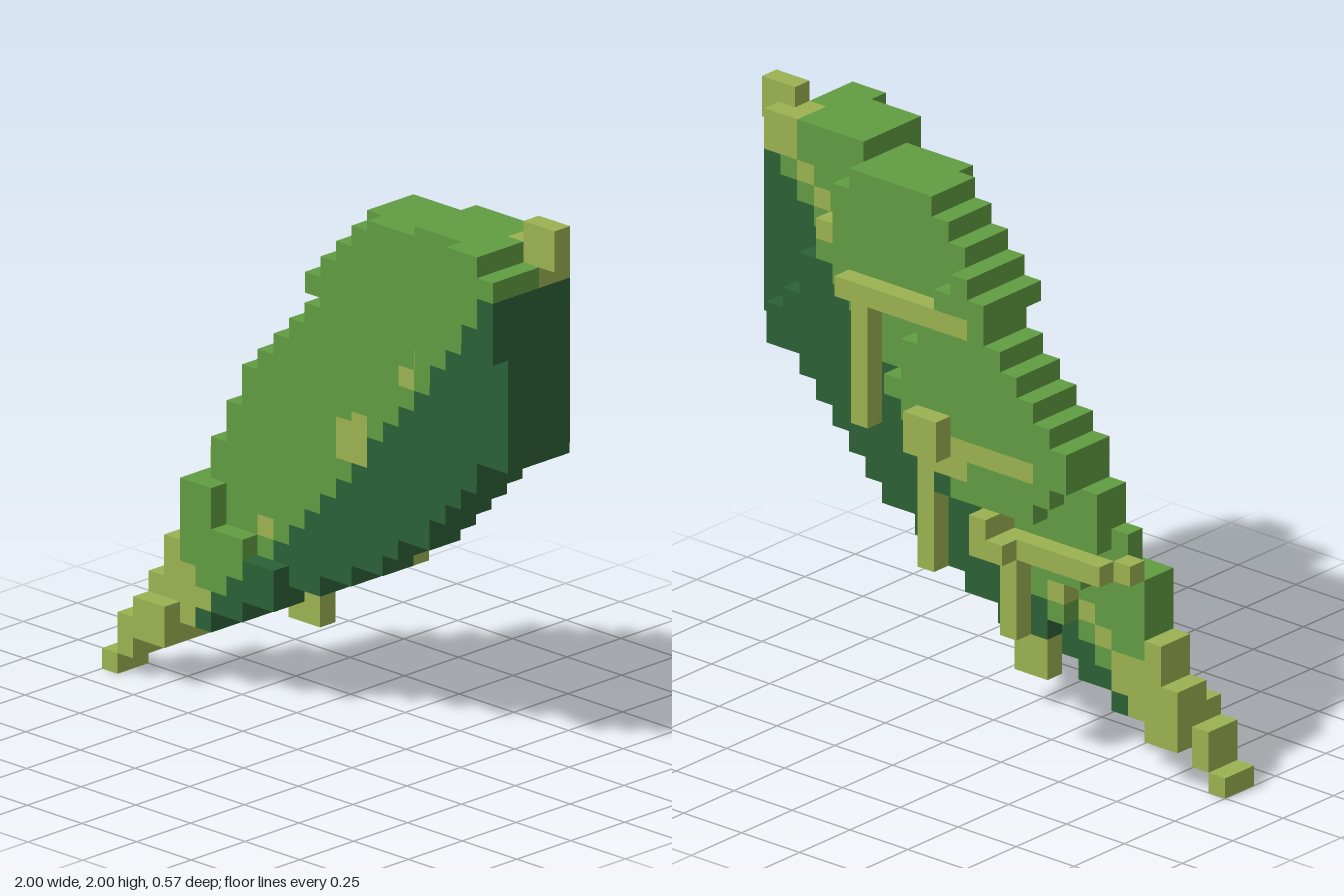
import * as THREE from 'three';

const U = 2 / 28; // cube size

const mat = (name, color) => {
  const m = new THREE.MeshStandardMaterial({ color });
  m.name = name;
  return m;
};

// Leaf outline: first and past-last cube of each column, columns 4 to 26
const FIRST_COLUMN = 4;
const TOP = [10, 12, 14, 16, 17, 18, 19, 20, 22, 23, 24, 25, 26, 26, 26, 26, 26, 27, 27, 27, 27, 27, 26];
const BOTTOM = [3, 3, 4, 4, 5, 5, 6, 6, 7, 7, 8, 8, 9, 10, 10, 11, 12, 13, 14, 15, 16, 16, 17];
// Height of the thickened foot of the leaf, columns 4 to 9
const FOOT = [10, 10, 8, 8, 7, 7];

// Curl of the blade: front and back depth step along its length
function frontDepth(i, j) {
  if (j < (FOOT[i - FIRST_COLUMN] ?? 0)) return 1;
  const s = i + 0.58 * j;
  return [24, 30.8, 35.2, 38.4].filter((limit) => s >= limit).length;
}
function backDepth(i, j) {
  const s = i + 0.58 * j;
  if (s < 12 || s >= 35) return -1;
  const deep = s >= 15 && s < 26.5 && j >= 12 && (i < 17 || j >= 16);
  return deep ? -3 : -2;
}

// Painted midrib cells that show on the blade
function isMidrib(i, j, k) {
  if (i === 4 && j < 6) return true;
  if (i === 5 && j === 4) return true;
  if (i >= 13 && i <= 15 && j >= 13 && j <= 15) return Math.abs(i - j) < 2 && !(i === 15 && j === 13);
  if (i !== j) return false;
  if (k < 0) return i < 9 || i > 21;
  return (i >= 8 && i <= 12) || i === 18 || i === 19;
}

// Faces of a cube: normal and the two edge directions
const FACES = [
  [[1, 0, 0], [0, 1, 0], [0, 0, 1]],
  [[-1, 0, 0], [0, 0, 1], [0, 1, 0]],
  [[0, 1, 0], [0, 0, 1], [1, 0, 0]],
  [[0, -1, 0], [1, 0, 0], [0, 0, 1]],
  [[0, 0, 1], [1, 0, 0], [0, 1, 0]],
  [[0, 0, -1], [0, 1, 0], [1, 0, 0]],
];

// Outer skin of all cubes belonging to one part
function skin(cubes, part) {
  const positions = [], normals = [];
  for (const [key, name] of cubes) {
    if (name !== part) continue;
    const c = key.split(',').map(Number);
    for (const [n, a, b] of FACES) {
      if (cubes.has(c.map((v, d) => v + n[d]).join())) continue;
      const corner = (p, q) => c.map((v, d) => v + Math.max(n[d], 0) + p * a[d] + q * b[d]);
      const quad = [corner(0, 0), corner(1, 0), corner(1, 1), corner(0, 1)];
      for (const t of [0, 1, 2, 0, 2, 3]) {
        const [x, y, z] = quad[t];
        positions.push(x * U - 1, y * U, z * U);
        normals.push(...n);
      }
    }
  }
  const g = new THREE.BufferGeometry();
  g.setAttribute('position', new THREE.Float32BufferAttribute(positions, 3));
  g.setAttribute('normal', new THREE.Float32BufferAttribute(normals, 3));
  return g;
}

export function createModel() {
  const green = mat('leaf green', 0x619c42);
  const dark = mat('dark green', 0x2c6136);
  const olive = mat('olive', 0x9bb251);

  const cubes = new Map();
  // Fill a block of cubes; ends are exclusive
  const fill = (part, [i0, i1], [j0, j1], [k0, k1]) => {
    for (let i = i0; i < i1; i++)
      for (let j = j0; j < j1; j++)
        for (let k = k0; k < k1; k++) cubes.set([i, j, k].join(), part);
  };

  // Blade: light half above the midrib, dark half below
  TOP.forEach((top, column) => {
    const i = column + FIRST_COLUMN;
    for (let j = BOTTOM[column]; j < top; j++)
      for (let k = backDepth(i, j); k < frontDepth(i, j); k++) {
        const part = isMidrib(i, j, k) ? 'midrib' : j < i - 1 ? 'lowerBlade' : 'upperBlade';
        cubes.set([i, j, k].join(), part);
      }
  });

  // Stem
  fill('stem', [0, 1], [0, 1], [0, 2]);
  fill('stem', [1, 2], [1, 3], [0, 2]);
  fill('stem', [2, 4], [2, 4], [-1, 2]);
  fill('stem', [2, 4], [4, 5], [-1, 1]);
  fill('stem', [3, 4], [5, 7], [-1, 1]);

  // Leaf tip
  fill('tip', [26, 28], [26, 28], [0, 1]);
  fill('tip', [26, 27], [25, 27], [-1, 0]);
  fill('tip', [26, 27], [25, 26], [0, 1]);
  fill('tip', [25, 26], [26, 27], [-1, 1]);

  // Upper vein on the back
  fill('upperVein', [13, 21], [20, 21], [-3, -2]);
  fill('upperVein', [19, 20], [14, 20], [-3, -2]);

  // Middle vein with its knot
  fill('middleVein', [9, 16], [14, 15], [-3, -2]);
  fill('middleVein', [14, 16], [14, 16], [-4, -3]);
  fill('middleVein', [15, 16], [8, 14], [-3, -2]);

  // Lower vein with its knot and hanging end
  fill('lowerVein', [5, 12], [10, 11], [-3, -2]);
  fill('lowerVein', [4, 5], [10, 11], [-2, -1]);
  fill('lowerVein', [10, 12], [10, 11], [-4, -3]);
  fill('lowerVein', [11, 12], [11, 12], [-4, -2]);
  fill('lowerVein', [10, 11], [6, 10], [-3, -2]);
  fill('lowerVein', [9, 11], [4, 6], [-2, -1]);

  const materials = {
    upperBlade: green, lowerBlade: dark, midrib: olive, stem: olive, tip: olive,
    upperVein: olive, middleVein: olive, lowerVein: olive,
  };
  const model = new THREE.Group();
  model.name = 'leaf';
  for (const [part, material] of Object.entries(materials)) {
    const mesh = new THREE.Mesh(skin(cubes, part), material);
    mesh.name = part;
    model.add(mesh);
  }
  return model;
}
